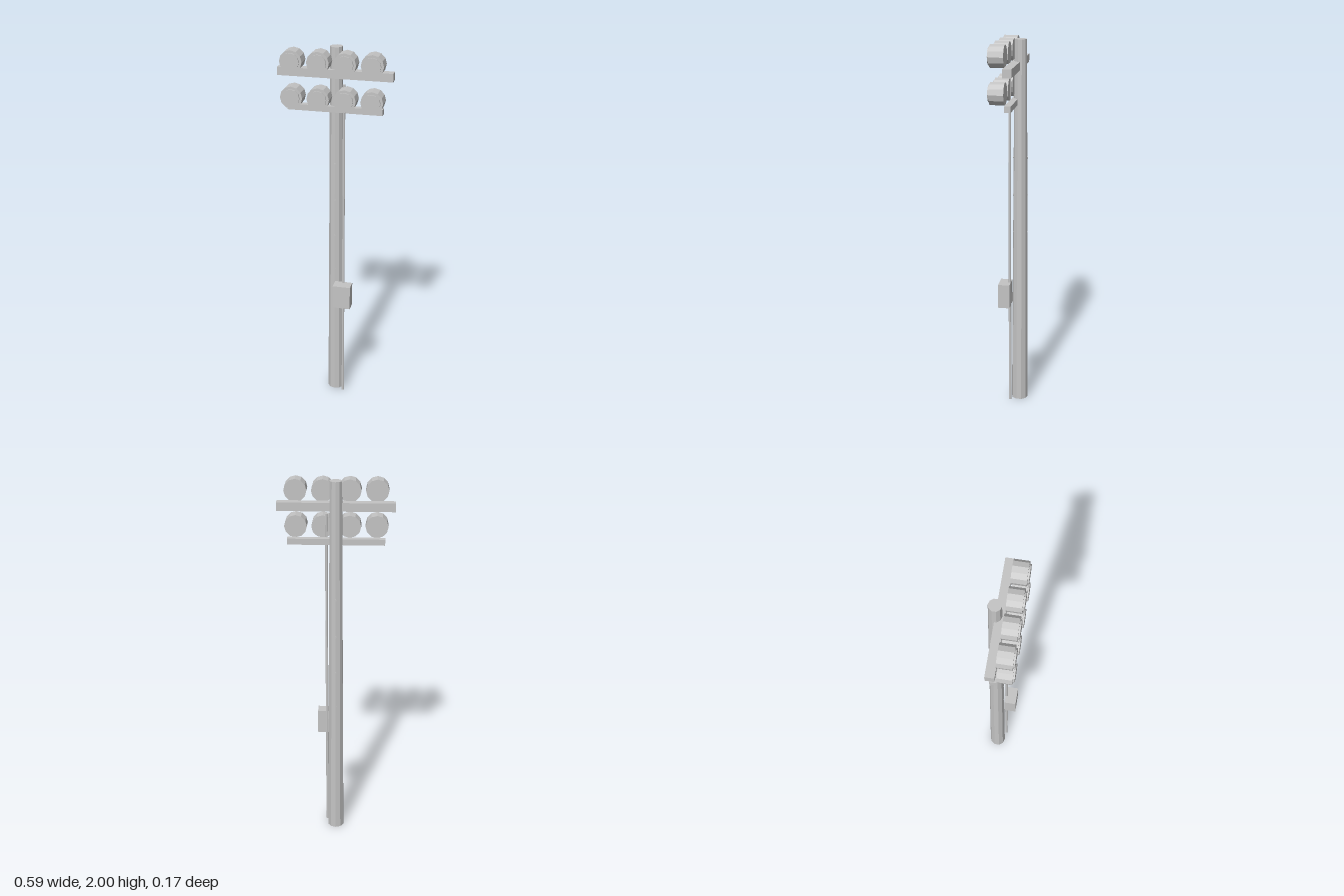
import * as THREE from 'three';

export function createModel() {
  const group = new THREE.Group();
  group.name = 'floodlightPole';
  const grey = new THREE.MeshStandardMaterial({ color: 0xc4c4c4, flatShading: true });
  grey.name = 'light grey';

  function add(name, geometry, x, y, z, parent = group) {
    const mesh = new THREE.Mesh(geometry, grey);
    mesh.name = name;
    mesh.position.set(x, y, z);
    parent.add(mesh);
    return mesh;
  }

  // Tapered ten-sided pole
  const poleZ = -0.042;
  add('pole', new THREE.CylinderGeometry(0.032, 0.045, 2, 10), 0, 1, poleZ);

  // Small bolts running through the pole from front to back
  for (const y of [0.78, 0.98, 1.185, 1.39]) {
    const bolt = new THREE.CylinderGeometry(0.005, 0.005, 0.078, 6).rotateX(Math.PI / 2);
    add('bolt', bolt, 0, y, poleZ);
  }

  // Cable conduit and switch box
  add('conduit', new THREE.CylinderGeometry(0.007, 0.007, 1.82, 8), 0.05, 0.91, 0.006);
  add('switchBox', new THREE.BoxGeometry(0.096, 0.132, 0.062), 0.052, 0.639, 0.032);

  // Crossarms
  add('upperCrossarm', new THREE.BoxGeometry(0.592, 0.043, 0.045), 0, 1.867, -0.02);
  add('lowerCrossarm', new THREE.BoxGeometry(0.494, 0.031, 0.033), 0, 1.685, -0.015);

  // Two rows of four floodlights: a drum with a narrower lens in front
  const drum = new THREE.CylinderGeometry(0.0575, 0.0575, 0.074, 12).rotateX(Math.PI / 2);
  const lens = new THREE.CylinderGeometry(0.0445, 0.0445, 0.03, 12).rotateX(Math.PI / 2);
  for (const y of [1.938, 1.755]) {
    for (const x of [-0.205, -0.068, 0.068, 0.205]) {
      const lamp = new THREE.Group();
      lamp.name = 'floodlight';
      lamp.position.set(x, y, 0.003);
      add('lampDrum', drum, 0, 0, 0.037, lamp);
      add('lampLens', lens, 0, 0, 0.067, lamp);
      group.add(lamp);
    }
  }
  return group;
}
